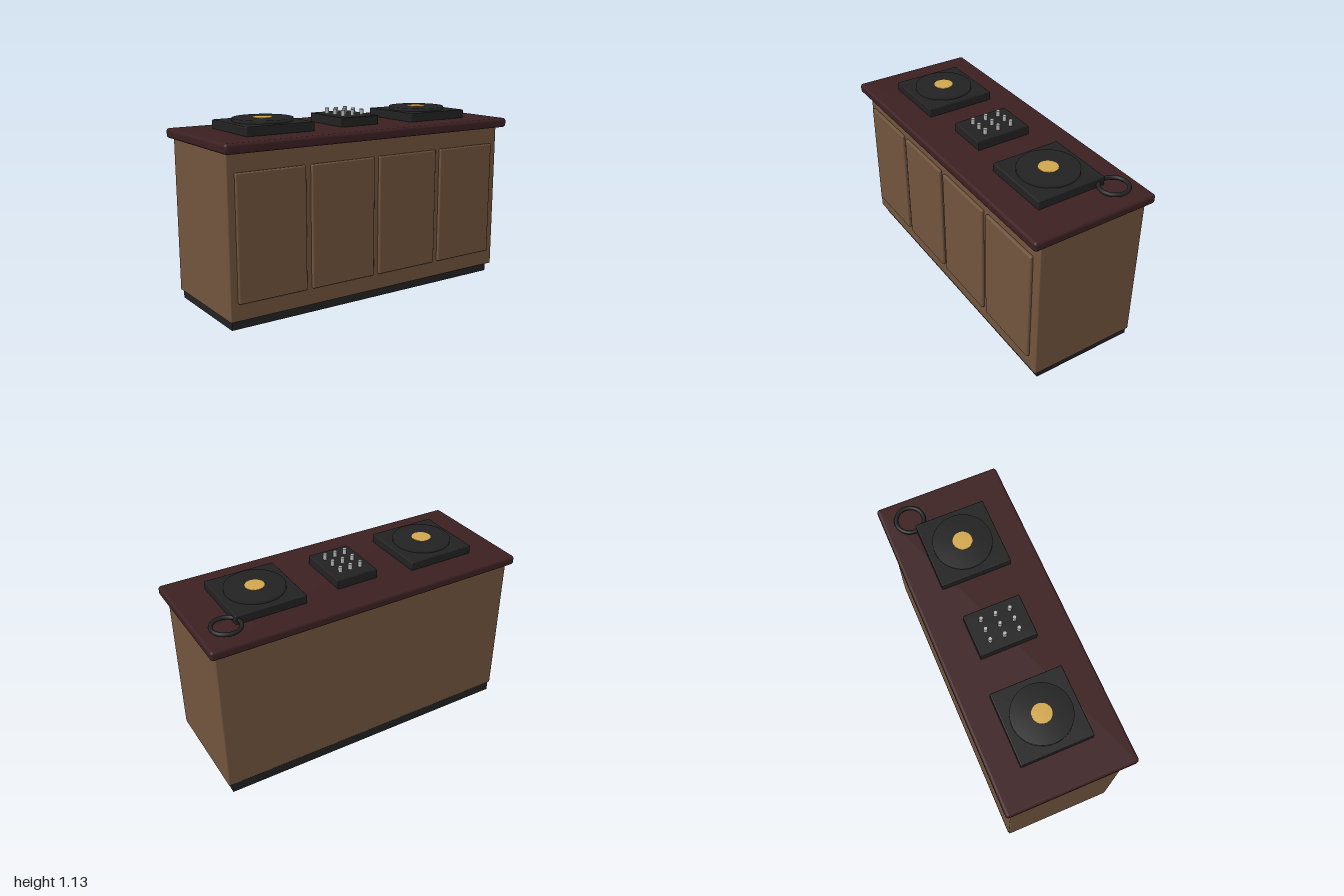
import * as THREE from 'three';
import { RoundedBoxGeometry } from 'three/addons/geometries/RoundedBoxGeometry.js';

const flat = (name, color) => {
  const m = new THREE.MeshStandardMaterial({ color });
  m.name = name;
  return m;
};

export function createModel() {
  const wood = flat('brown wood', 0x70543d);
  const top = flat('dark red countertop', 0x3c2022);
  const black = flat('black', 0x222222);
  const gold = flat('gold', 0xd0a64e);
  const silver = flat('silver', 0xb4b4b4);

  const model = new THREE.Group();
  model.name = 'counterWithTurntables';

  const add = (parent, name, geometry, material, x, y, z) => {
    const mesh = new THREE.Mesh(geometry, material);
    mesh.name = name;
    mesh.position.set(x, y, z);
    parent.add(mesh);
    return mesh;
  };
  // Box given by its minimum and maximum corners, optionally rounded
  const block = (parent, name, material, [x0, y0, z0], [x1, y1, z1], r = 0) => {
    const size = [x1 - x0, y1 - y0, z1 - z0];
    const g = r ? new RoundedBoxGeometry(...size, 3, r) : new THREE.BoxGeometry(...size);
    return add(parent, name, g, material, (x0 + x1) / 2, (y0 + y1) / 2, (z0 + z1) / 2);
  };
  // Disc with softly shaded rim
  const disc = (r, h) => new THREE.LatheGeometry(
    [[r, 0], [r, h], [0, h]].map(([x, y]) => new THREE.Vector2(x, y)), 48);

  // Cabinet
  block(model, 'plinth', black, [-0.95, 0, -0.35], [0.945, 0.06, 0.3]);
  block(model, 'cabinetBody', wood, [-0.97, 0.055, -0.35], [0.967, 0.985, 0.33], 0.008);
  block(model, 'countertop', top, [-1, 0.982, -0.39], [1, 1.04, 0.39], 0.018);

  // Four front door panels
  for (let i = 0; i < 4; i++) {
    const x = -0.71 + i * 0.468;
    block(model, 'doorPanel', wood, [x - 0.216, 0.157, 0.328], [x + 0.216, 0.877, 0.351], 0.009);
  }

  // Two turntables
  for (const x of [-0.57, 0.565]) {
    const deck = new THREE.Group();
    deck.name = 'turntable';
    deck.position.set(x, 1.038, 0);
    block(deck, 'turntableBase', black, [-0.216, 0, -0.216], [0.216, 0.055, 0.216], 0.006);
    add(deck, 'platter', disc(0.176, 0.022), black, 0, 0.052, 0);
    add(deck, 'recordLabel', disc(0.058, 0.004), gold, 0, 0.074, 0);
    model.add(deck);
  }

  // Mixer with a three by three grid of knobs
  const mixer = new THREE.Group();
  mixer.name = 'mixer';
  mixer.position.set(-0.003, 1.038, -0.003);
  block(mixer, 'mixerBase', black, [-0.132, 0, -0.174], [0.132, 0.057, 0.174], 0.005);
  const knob = new THREE.CylinderGeometry(0.012, 0.012, 0.036, 16);
  for (const kx of [-0.067, 0, 0.067])
    for (const kz of [-0.088, 0, 0.088]) add(mixer, 'knob', knob, silver, kx, 0.073, kz);
  model.add(mixer);

  // Headband ring lying behind the left turntable
  const ring = add(model, 'headbandRing', new THREE.TorusGeometry(0.083, 0.012, 12, 48),
    black, 0.842, 1.063, -0.228);
  ring.rotation.x = Math.PI / 2;

  return model;
}
